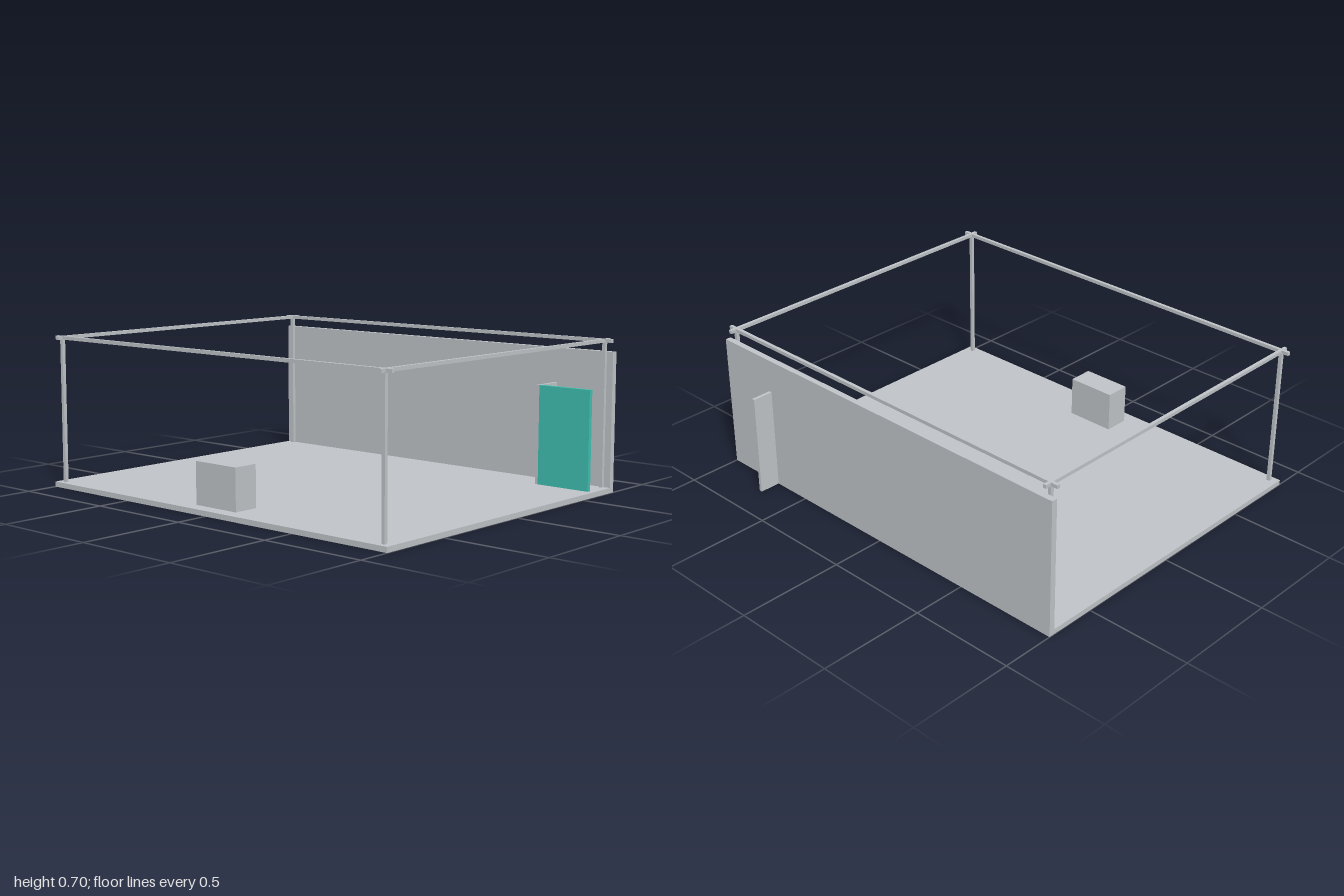
import * as THREE from 'three';

export function createModel() {
  const model = new THREE.Group();
  model.name = 'exhibitionBooth';

  const grey = new THREE.MeshStandardMaterial({ color: 0xc0c5c9 });
  grey.name = 'light grey';
  const teal = new THREE.MeshStandardMaterial({ color: 0x40c1b3 });
  teal.name = 'teal';

  // Adds a box given its extents along each axis
  function addBox(parent, name, material, [x0, x1], [y0, y1], [z0, z1]) {
    const mesh = new THREE.Mesh(new THREE.BoxGeometry(x1 - x0, y1 - y0, z1 - z0), material);
    mesh.position.set((x0 + x1) / 2, (y0 + y1) / 2, (z0 + z1) / 2);
    mesh.name = name;
    parent.add(mesh);
  }

  const front = 0.848, back = -0.748, wallFront = -0.72, floorTop = 0.024;

  // Floor platform and back wall
  addBox(model, 'floor', grey, [-1, 1], [0, floorTop], [wallFront, front]);
  addBox(model, 'backWall', grey, [-1, 1], [0, 0.642], [back, wallFront]);

  // Partition running through the wall, and the door closing the storage corner
  addBox(model, 'partition', grey, [0.69, 0.705], [0.001, 0.482], [-0.848, -0.577]);
  addBox(model, 'door', teal, [0.705, 0.974], [0.001, 0.482], [-0.597, -0.577]);

  // Reception counter
  addBox(model, 'counter', grey, [-0.12, 0.12], [floorTop, 0.215], [0.663, 0.783]);

  // Frame: four posts carrying crossing beams that overhang the corners
  const frame = new THREE.Group();
  frame.name = 'frame';
  model.add(frame);
  const r = 0.008, top = 0.7, beamBottom = top - 2 * r;
  const postX = [-0.96, 0.96], postZ = [-0.712, 0.817];
  for (const x of postX) {
    addBox(frame, 'sideBeam', grey, [x - r, x + r], [beamBottom, top], [back, front]);
    for (const z of postZ) {
      addBox(frame, 'post', grey, [x - r, x + r], [floorTop, beamBottom], [z - r, z + r]);
    }
  }
  for (const z of postZ) {
    addBox(frame, 'crossBeam', grey, [-1, 1], [beamBottom, top], [z - r, z + r]);
  }

  return model;
}
